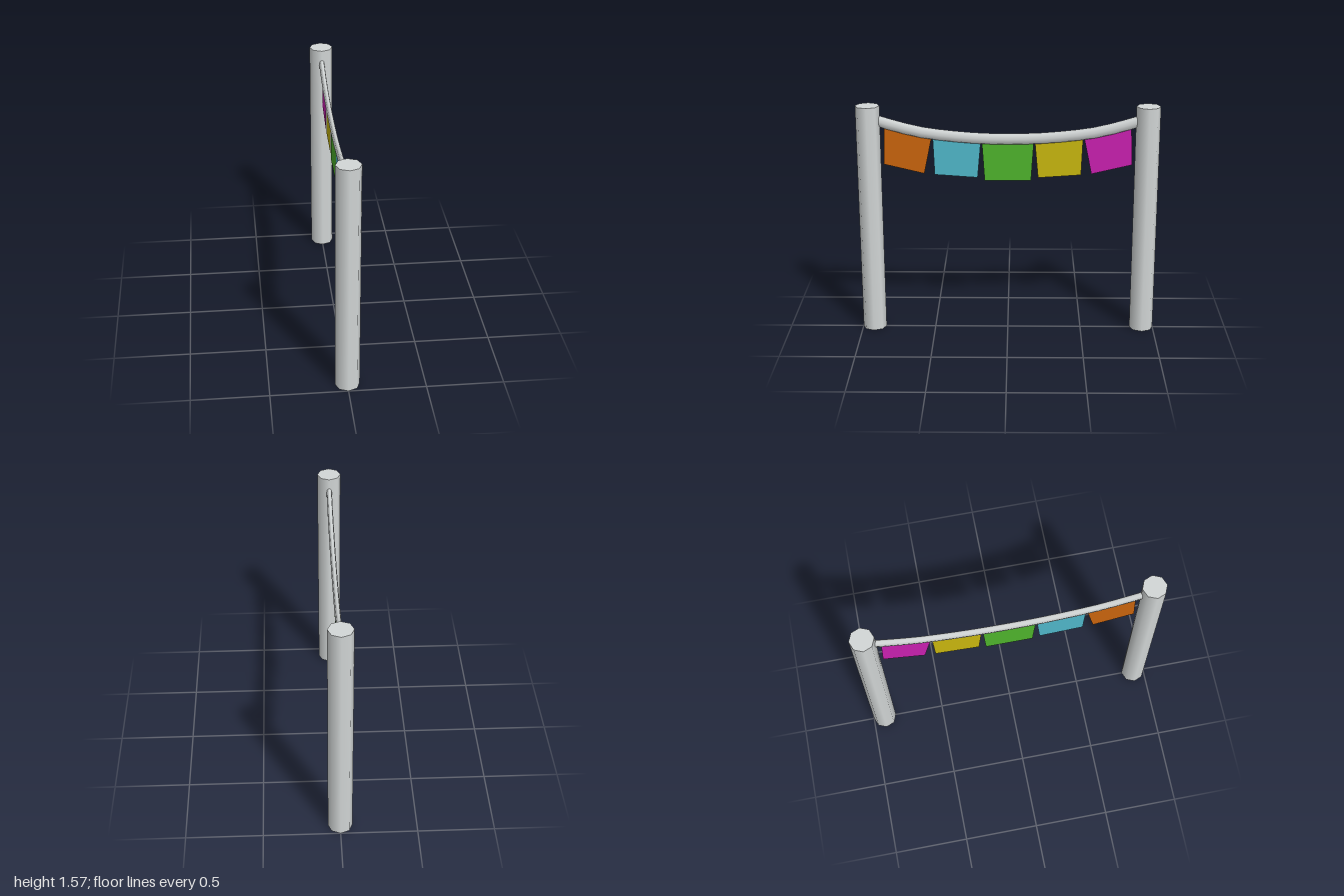
import * as THREE from 'three';

const mat = (name, color, side = THREE.DoubleSide) => {
  const m = new THREE.MeshStandardMaterial({ color, side });
  m.name = name;
  return m;
};

export function createModel() {
  const group = new THREE.Group();
  const grey = mat('paleGrey', 0xd3d7d7);
  const add = (name, geometry, material) => {
    const mesh = new THREE.Mesh(geometry, material);
    mesh.name = name;
    group.add(mesh);
    return mesh;
  };

  // Two octagonal posts, capped on top and open underneath
  const H = 1.57, R = 0.08;
  for (const [end, s] of [['front', 1], ['back', -1]]) {
    const side = new THREE.CylinderGeometry(R, R, H, 8, 1, true);
    add(end + 'Post', side, grey).position.set(0, H / 2, s * 0.92);
    // Cap vertices line up with the post sides
    const cap = new THREE.CircleGeometry(R, 8).rotateX(-Math.PI / 2);
    add(end + 'PostCap', cap, grey).position.set(0, H, s * 0.92);
  }

  // Sagging rope, flattened across its width
  const half = [[0.9, 1.481], [0.848, 1.464], [0.592, 1.395], [0.4, 1.368], [0.158, 1.349]];
  const path = [...half, ...half.map(([z, y]) => [-z, y]).reverse()]
    .map(([z, y]) => new THREE.Vector3(0, y, z));
  const rope = new THREE.TubeGeometry(new THREE.CatmullRomCurve3(path), 16, 0.0375, 8);
  rope.scale(0.5, 1, 1);
  add('rope', rope, grey);

  // Flags: [z, y] corners, tops tucked into the rope
  const outer = [[0.812, 1.43], [0.502, 1.36], [0.555, 1.107], [0.823, 1.171]];
  const inner = [[0.496, 1.36], [0.178, 1.335], [0.201, 1.08], [0.486, 1.1]];
  const middle = [[0.172, 1.335], [-0.172, 1.335], [-0.154, 1.059], [0.154, 1.059]];
  const flags = [
    ['orange', 0xcb650d, outer, 1],
    ['cyan', 0x50b8cb, inner, 1],
    ['green', 0x4fb52d, middle, 1],
    ['yellow', 0xcab80f, inner, -1],
    ['magenta', 0xcb20b1, outer, -1],
  ];
  for (const [name, color, corners, s] of flags) {
    const shape = new THREE.Shape(corners.map(([z, y]) => new THREE.Vector2(-z * s, y)));
    const geometry = new THREE.ShapeGeometry(shape).rotateY(Math.PI / 2);
    add(name + 'Flag', geometry, mat(name, color));
  }
  return group;
}
